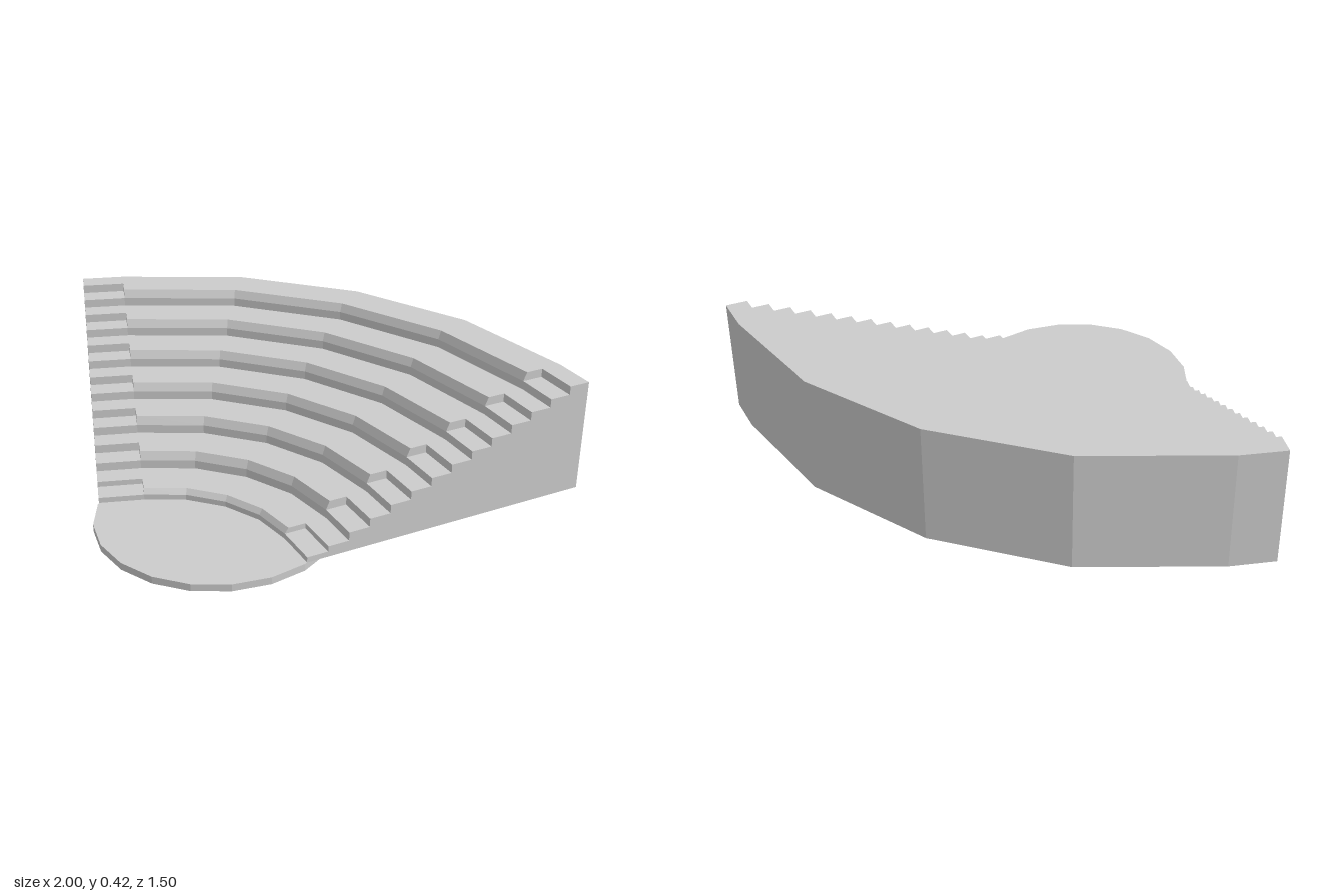
import * as THREE from 'three';

const TIERS = 7, R0 = 0.45, R1 = 1.49, PITCH = (R1 - R0) / TIERS;
const BASE = 0.025, CENTRE_Z = 0.735, HALF_ANGLE = Math.PI / 5;
const STAIR_WIDTH = 0.152, BEVEL = 0.013;
const tierTop = (i) => (i < 0 ? BASE : 0.063 + 0.06 * i);

// Closed (radius, height) outline, listed anticlockwise; addRiser draws each step downwards
function outline(addRiser) {
  const pts = [[R0, BASE], [R1, BASE], [R1, tierTop(TIERS - 1)]];
  for (let i = TIERS - 1; i >= 0; i--) {
    const low = tierTop(i - 1), high = tierTop(i);
    addRiser(pts, R0 + i * PITCH, low, (low + high) / 2, high);
  }
  return pts.map(([x, y]) => new THREE.Vector2(x, y));
}

export function createModel() {
  const model = new THREE.Group();
  const mat = new THREE.MeshStandardMaterial({
    color: 0xcccccc, flatShading: true, side: THREE.DoubleSide,
  });
  const add = (parent, geometry, name) => {
    const mesh = new THREE.Mesh(geometry, mat);
    mesh.name = name;
    parent.add(mesh);
    return mesh;
  };

  // Round stage floor
  const stage = add(model, new THREE.CylinderGeometry(0.405, 0.405, BASE, 20), 'stage');
  stage.position.set(0, BASE / 2, 0.345);

  // Curved seating tiers, each riser leaning back in its upper half
  const tierProfile = outline((pts, r, low, mid, high) =>
    pts.push([r + BEVEL, high], [r, mid], [r, low]));
  const seating = add(model, new THREE.LatheGeometry(
    tierProfile, 4, Math.PI - HALF_ANGLE, 2 * HALF_ANGLE), 'seatingTiers');
  seating.position.z = CENTRE_Z;

  // Straight staircases along both ends, two steps per tier
  const stairProfile = outline((pts, r, low, mid, high) =>
    pts.push([r + PITCH / 2, high], [r + PITCH / 2, mid], [r, mid], [r, low]));
  const stairGeometry = new THREE.ExtrudeGeometry(new THREE.Shape(stairProfile), {
    depth: STAIR_WIDTH, bevelEnabled: false,
  });
  const capGeometry = new THREE.ShapeGeometry(new THREE.Shape(tierProfile.slice(0, -1)));
  for (const side of [1, -1]) {
    const end = new THREE.Group();
    end.name = side > 0 ? 'leftEnd' : 'rightEnd';
    end.position.z = CENTRE_Z;
    end.rotation.y = Math.PI / 2 - side * HALF_ANGLE;
    const stairs = add(end, stairGeometry, 'staircase');
    if (side < 0) stairs.position.z = -STAIR_WIDTH;
    // End face of the tiers above the steps
    add(end, capGeometry, 'tierEndFace');
    model.add(end);
  }
  return model;
}
